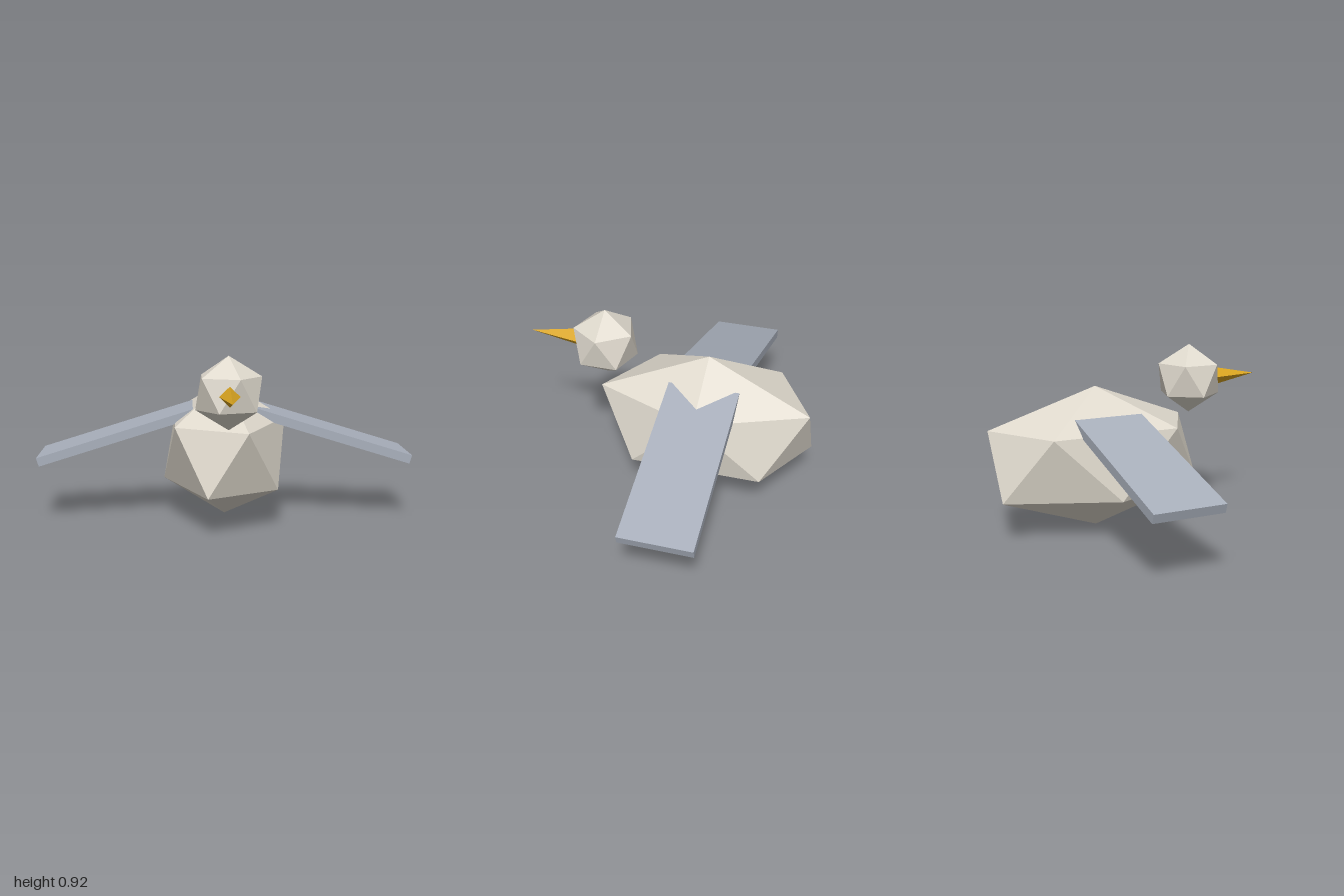
import * as THREE from 'three';
import { ConvexGeometry } from 'three/addons/geometries/ConvexGeometry.js';

// Twenty-sided ball standing on a corner: two poles and two staggered rings of five
function facetedBall(rx, ry, rz) {
  const points = [new THREE.Vector3(0, ry, 0), new THREE.Vector3(0, -ry, 0)];
  for (let i = 0; i < 5; i++) {
    const a = (i * Math.PI * 2) / 5;
    const x = 0.8944 * Math.cos(a) * rx;
    const z = 0.8944 * Math.sin(a) * rz;
    points.push(new THREE.Vector3(x, 0.4472 * ry, z));
    points.push(new THREE.Vector3(-x, -0.4472 * ry, z));
  }
  return new ConvexGeometry(points);
}

export function createModel() {
  const material = (name, color) => {
    const m = new THREE.MeshStandardMaterial({ color, flatShading: true });
    m.name = name;
    return m;
  };
  const plumage = material('pale plumage', 0xdfd9cd);
  const wingGrey = material('wing grey', 0xa8afbb);
  const beakGold = material('beak gold', 0xdaa520);

  const bird = new THREE.Group();
  bird.name = 'bird';
  const add = (name, geometry, mat, x, y, z) => {
    const mesh = new THREE.Mesh(geometry, mat);
    mesh.name = name;
    mesh.position.set(x, y, z);
    bird.add(mesh);
    return mesh;
  };

  // Body and head
  add('body', facetedBall(0.368, 0.368, 0.642), plumage, 0, 0.369, -0.207);
  add('head', facetedBall(0.183, 0.183, 0.183), plumage, 0, 0.738, 0.345);

  // Four-sided beak pointing forward
  const beak = new THREE.ConeGeometry(0.052, 0.27, 4);
  beak.rotateX(Math.PI / 2);
  add('beak', beak, beakGold, 0, 0.738, 0.618);

  // Drooping plank wings
  for (const side of [1, -1]) {
    const wing = add(side > 0 ? 'leftWing' : 'rightWing',
      new THREE.BoxGeometry(0.925, 0.047, 0.367), wingGrey, side * 0.551, 0.464, -0.21);
    wing.rotation.z = -side * 0.3;
  }
  return bird;
}
